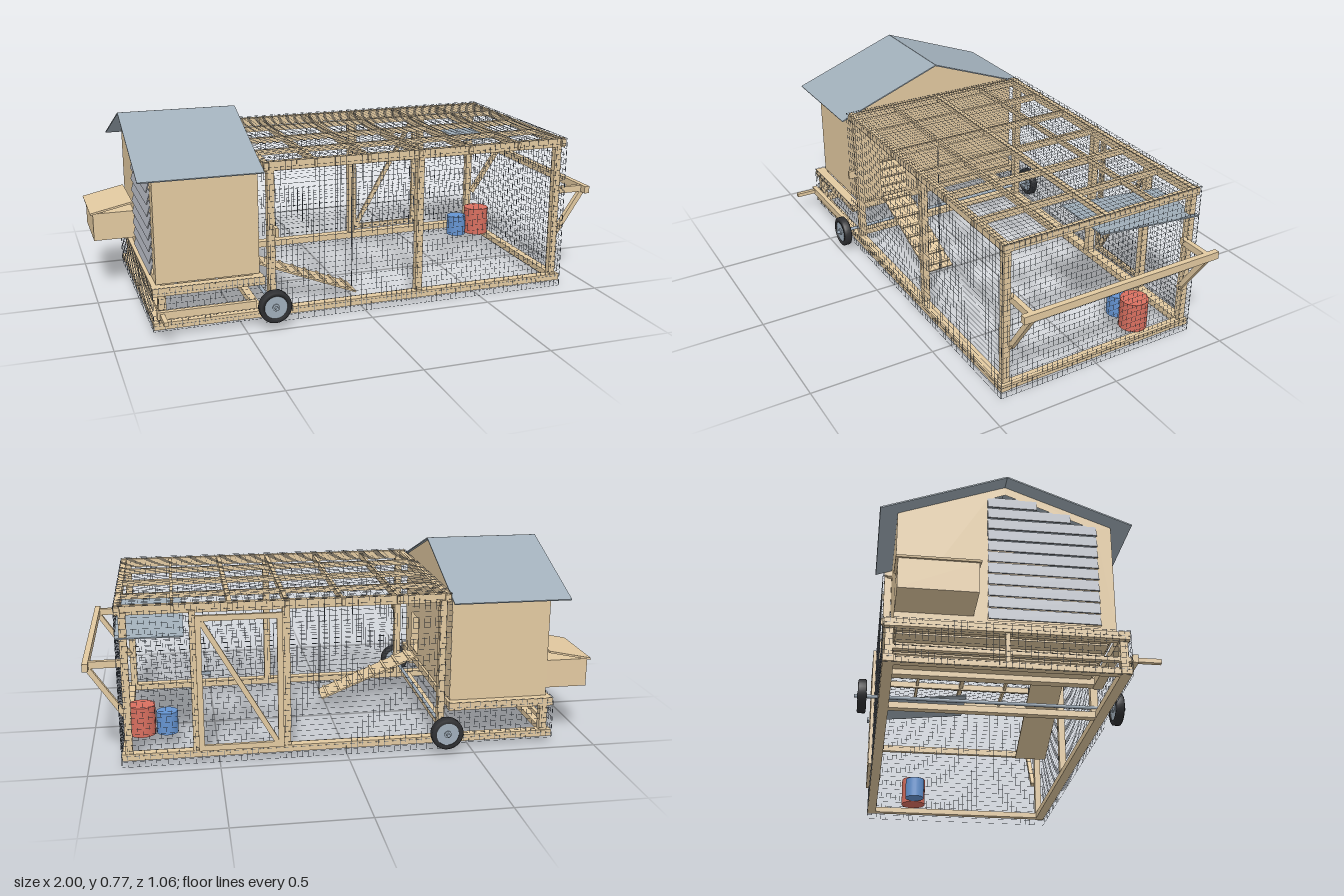
import * as THREE from 'three';
import { mergeGeometries } from 'three/addons/utils/BufferGeometryUtils.js';

const mat = (name, color) => {
  const m = new THREE.MeshStandardMaterial({ color });
  m.name = name;
  return m;
};

export function createModel() {
  const wood = mat('wood', 0xe2c9a0);
  const metal = mat('roofMetal', 0xa1afba);
  const louvre = mat('louvreMetal', 0xacb0b8);
  const wireMat = mat('wire', 0x6b7683);
  const rubber = mat('rubber', 0x2e2f32);
  const steel = mat('steel', 0xa0aebb);
  const red = mat('redPlastic', 0xd96f5f);
  const blue = mat('bluePlastic', 0x6594d2);
  const model = new THREE.Group();
  model.name = 'mobileCoop';

  const add = (name, geo, material = wood) => {
    const m = new THREE.Mesh(geo, material);
    m.name = name;
    model.add(m);
    return m;
  };
  // Box given by its limits on each axis
  const boxGeo = (x0, x1, y0, y1, z0, z1) =>
    new THREE.BoxGeometry(x1 - x0, y1 - y0, z1 - z0)
      .translate((x0 + x1) / 2, (y0 + y1) / 2, (z0 + z1) / 2);
  const box = (name, lim, material) => add(name, boxGeo(...lim), material);
  // Bar between two points in the xy plane
  const strut = (name, x0, y0, x1, y1, z, h, d) => {
    const m = add(name, new THREE.BoxGeometry(Math.hypot(x1 - x0, y1 - y0), h, d));
    m.position.set((x0 + x1) / 2, (y0 + y1) / 2, z);
    m.rotation.z = Math.atan2(y1 - y0, x1 - x0);
  };
  // Cylinder along z
  const rod = (name, x, y, z0, z1, r, material, seg = 12) => {
    const m = add(name, new THREE.CylinderGeometry(r, r, z1 - z0, seg), material);
    m.rotation.x = Math.PI / 2;
    m.position.set(x, y, (z0 + z1) / 2);
  };

  const ZF = 0.42, ZB = -0.44, ZC = -0.015;

  // Base frame
  for (const [z0, z1] of [[ZF - 0.04, ZF - 0.002], [ZB + 0.002, ZB + 0.04]]) {
    box('baseRail', [-0.84, 0.872, 0.025, 0.052, z0, z1]);
    box('houseRail', [-0.84, -0.41, 0.157, 0.188, z0, z1]);
    box('houseLeg', [-0.82, -0.79, 0.05, 0.16, z0 + 0.005, z1 - 0.005]);
  }
  for (const x of [-0.82, -0.425, 0.855]) box('baseCrossRail', [x - 0.015, x + 0.015, 0.026, 0.05, ZB + 0.02, ZF - 0.02]);
  for (const x of [-0.82, -0.43]) box('houseCrossRail', [x - 0.018, x + 0.018, 0.159, 0.187, ZB + 0.02, ZF - 0.02]);
  box('centreLeg', [-0.83, -0.81, 0.05, 0.16, -0.02, -0.003]);
  box('frontSideRail', [-0.83, -0.45, 0.075, 0.105, 0.425, 0.445]);
  box('rearPeg', [-0.82, -0.803, 0.082, 0.098, ZB + 0.02, 0.53]);

  // Run posts and top frame
  for (const z of [0.39, -0.42]) {
    for (const x of [-0.378, 0.235, 0.845]) box('post', [x - 0.014, x + 0.014, 0.05, 0.61, z - 0.014, z + 0.014]);
    box('topRail', [-0.41, 0.872, 0.6, 0.636, z - 0.004, z + 0.018]);
  }
  box('doorPost', [0.575, 0.6, 0.05, 0.61, -0.434, -0.406]);
  for (const [z, w] of [[-0.23, 0.006], [ZC, 0.009], [0.2, 0.006]]) box('roofBatten', [-0.41, 0.872, 0.612, 0.634, z - w, z + w]);
  for (const [x, w] of [[-0.395, 0.011], [-0.2, 0.006], [0.015, 0.006], [0.23, 0.008], [0.445, 0.009], [0.66, 0.006], [0.862, 0.011]])
    box('roofCrossBar', [x - w, x + w, 0.605, 0.633, -0.435, 0.415]);

  // Door in the back side of the run
  for (const x of [0.25, 0.557]) box('doorStile', [x, x + 0.022, 0.055, 0.595, -0.455, -0.441]);
  for (const y of [0.055, 0.573]) box('doorRail', [0.25, 0.579, y, y + 0.022, -0.455, -0.441]);
  strut('doorBrace', 0.275, 0.075, 0.557, 0.57, -0.448, 0.02, 0.012);
  box('doorLatch', [0.525, 0.56, 0.368, 0.38, -0.466, -0.455], steel);
  box('frontLatch', [-0.373, -0.36, 0.35, 0.385, 0.404, 0.445]);

  // Push handle
  for (const z of [0.37, -0.395]) {
    box('handleArm', [0.845, 0.985, 0.393, 0.42, z - 0.01, z + 0.01]);
    strut('handleBrace', 0.855, 0.2, 0.985, 0.395, z, 0.02, 0.02);
  }
  box('handleBar', [0.978, 1, 0.392, 0.422, ZB, 0.41]);

  // Wire mesh, one merged grid of very fine wires per panel
  const mesh = (name, lo, hi) => {
    const t = 0.0004, step = 0.0218, parts = [];
    const axes = [0, 1, 2].filter(a => hi[a] > lo[a]);
    for (const a of axes) {
      const n = Math.round((hi[a] - lo[a]) / step);
      for (let i = 0; i <= n; i++) {
        const p = lo.slice(), q = hi.slice();
        p[a] = q[a] = lo[a] + (hi[a] - lo[a]) * i / n;
        for (let k = 0; k < 3; k++) if (p[k] === q[k]) { p[k] -= t; q[k] += t; }
        parts.push(boxGeo(p[0], q[0], p[1], q[1], p[2], q[2]));
      }
    }
    add(name, mergeGeometries(parts), wireMat);
  };
  const Y0 = 0.0004;
  mesh('frontMesh', [-0.41, Y0, ZF], [0.873, 0.638, ZF]);
  mesh('backMesh', [-0.41, Y0, ZB], [0.873, 0.638, ZB]);
  mesh('endMesh', [0.875, Y0, ZB], [0.875, 0.638, ZF]);
  mesh('topMesh', [-0.41, 0.638, ZB], [0.873, 0.638, ZF]);
  mesh('frontSkirtMesh', [-0.84, 0.02, ZF], [-0.41, 0.19, ZF]);
  mesh('backSkirtMesh', [-0.84, 0.02, ZB], [-0.41, 0.19, ZB]);
  mesh('rearSkirtMesh', [-0.842, 0.02, ZB], [-0.842, 0.19, ZF]);

  // House: gable walls with a hole each, side walls, slatted floor
  const slope = 0.371, half = 0.39, apex = 0.768;
  const roofY = z => apex - Math.abs(z - ZC) * slope;
  const gable = (name, x, hole) => {
    const pts = [[ZC + half, 0.19], [ZC + half, roofY(ZC + half)], [ZC, apex], [ZC - half, roofY(ZC - half)], [ZC - half, 0.19]];
    const toV = ([z, y]) => new THREE.Vector2(-z, y);
    const s = new THREE.Shape(pts.map(toV));
    s.holes.push(new THREE.Path(hole.map(toV)));
    const g = new THREE.ExtrudeGeometry(s, { depth: 0.012, bevelEnabled: false });
    add(name, g.rotateY(Math.PI / 2).translate(x, 0, 0));
  };
  gable('runGableWall', -0.432, [[0.145, 0.21], [0.27, 0.21], [0.27, 0.375], [0.145, 0.375]]);
  gable('rearGableWall', -0.82, [[-0.08, 0.21], [0.32, 0.21], [0.32, 0.61], [ZC, 0.735], [-0.08, 0.71]]);
  box('frontHouseWall', [-0.819, -0.421, 0.19, 0.62, ZC + half - 0.012, ZC + half + 0.001]);
  box('backHouseWall', [-0.819, -0.421, 0.19, 0.62, ZC - half - 0.001, ZC - half + 0.012]);
  for (let i = 0; i < 5; i++) {
    const x = -0.815 + i * 0.079;
    box('floorSlat', [x, x + 0.066, 0.18, 0.195, ZC - half + 0.01, ZC + half - 0.01]);
  }

  // Louvred ventilation panel
  for (let y = 0.235; y < 0.72; y += 0.046) {
    const z1 = Math.min(0.32, ZC + (apex - 0.03 - y) / slope);
    const s = add('louvreSlat', new THREE.BoxGeometry(0.004, 0.052, z1 + 0.08), louvre);
    s.position.set(-0.824, y, (z1 - 0.08) / 2);
    s.rotation.z = -0.3;
  }

  // Roof sheets
  for (const s of [1, -1]) {
    const run = 0.455, drop = 0.169;
    const m = add('roofSheet', new THREE.BoxGeometry(0.47, 0.005, Math.hypot(run, drop)), metal);
    m.position.set(-0.645, 0.772 - drop / 2, ZC + s * run / 2);
    m.rotation.x = s * Math.atan2(drop, run);
  }

  // Nest box with sloping lid
  box('nestBox', [-0.988, -0.82, 0.222, 0.337, -0.405, -0.13]);
  strut('nestLid', -0.999, 0.337, -0.825, 0.374, -0.2675, 0.008, 0.29);

  // Ramp with cleats, and its lifting cord
  const rx0 = -0.41, ry0 = 0.195, rx1 = 0.015, ry1 = 0.022;
  strut('ramp', rx0, ry0, rx1, ry1, 0.2075, 0.007, 0.125);
  for (let i = 0; i < 8; i++) {
    const t = (i + 0.5) / 8, x = rx0 + (rx1 - rx0) * t, y = ry0 + (ry1 - ry0) * t + 0.006;
    strut('rampCleat', x - 0.005, y + 0.002, x + 0.005, y - 0.002, 0.2075, 0.008, 0.125);
  }
  add('rampCord', new THREE.CylinderGeometry(0.002, 0.002, 0.585, 6).translate(0.018, 0.313, 0.207), wireMat);

  // Axle and wheels
  rod('axle', -0.388, 0.088, -0.527, 0.51, 0.007, steel);
  for (const z of [0.478, -0.498]) {
    const tyre = [[0.045, -0.016], [0.058, -0.0165], [0.064, -0.012], [0.064, 0.012], [0.058, 0.0165], [0.045, 0.016], [0.045, -0.016]]
      .map(p => new THREE.Vector2(...p));
    const t = add('tyre', new THREE.LatheGeometry(tyre, 32), rubber);
    t.rotation.x = Math.PI / 2;
    t.position.set(-0.388, 0.088, z);
    rod('wheelHub', -0.388, 0.088, z - 0.013, z + 0.013, 0.046, steel, 28);
    rod('hubCap', -0.388, 0.088, z - 0.018, z + 0.018, 0.014, steel, 16);
  }

  // Sloping rain cover above the feed corner
  const cover = add('feedCover', new THREE.BoxGeometry(0.255, 0.005, 0.453), metal);
  cover.position.set(0.748, 0.538, -0.215);
  cover.rotation.x = -Math.atan2(0.048, 0.45);

  // Feeder and drinker
  add('feeder', new THREE.CylinderGeometry(0.055, 0.055, 0.122, 24).translate(0.798, 0.115, -0.225), red);
  add('drinker', new THREE.CylinderGeometry(0.043, 0.043, 0.09, 24).translate(0.697, 0.099, -0.225), blue);

  return model;
}
